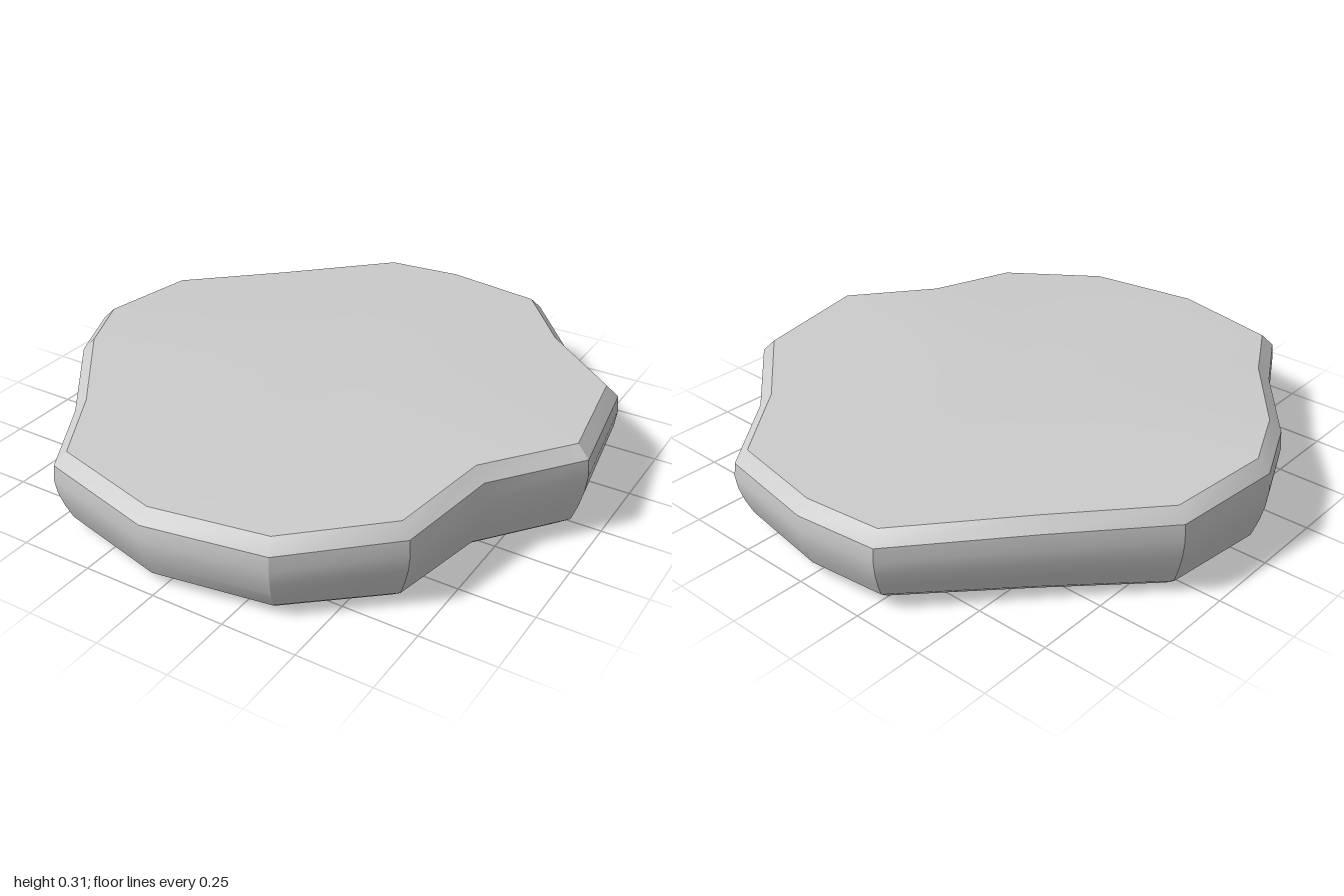
import * as THREE from 'three';
import { toCreasedNormals } from 'three/addons/utils/BufferGeometryUtils.js';

// Widest outline of the stone as (x, z), clockwise seen from above
const OUTLINE = [
  [-0.01, -1.0], [0.36, -0.94], [0.58, -0.66], [0.88, -0.4], [0.955, 0.05], [0.74, 0.33],
  [0.675, 0.67], [0.37, 0.93], [-0.04, 0.995], [-0.46, 0.89], [-0.61, 0.62], [-0.85, 0.3],
  [-0.955, 0.06], [-0.91, -0.32], [-0.62, -0.62], [-0.3, -0.97],
].map(([x, z]) => new THREE.Vector2(x, z));
const N = OUTLINE.length;

// Height of the upper face along z
const CREST = [[-1, 0.28], [-0.9, 0.282], [-0.4, 0.3], [0, 0.315], [0.3, 0.315], [0.65, 0.29], [1, 0.27]];
function topY(z) {
  const k = Math.max(1, CREST.findIndex(([cz]) => cz >= z));
  const [z0, y0] = CREST[k - 1], [z1, y1] = CREST[k];
  return THREE.MathUtils.mapLinear(THREE.MathUtils.clamp(z, z0, z1), z0, z1, y0, y1);
}
// The underside lifts slightly toward the back
const baseY = (z) => Math.max(0, (-z - 0.36) * 0.027);

// Outline moved inward by a distance, with mitred corners
function inset(dist) {
  return OUTLINE.map((p, i) => {
    const a = p.clone().sub(OUTLINE[(i + N - 1) % N]).normalize();
    const b = OUTLINE[(i + 1) % N].clone().sub(p).normalize();
    const k = dist / (1 + a.dot(b));
    return new THREE.Vector2(p.x - (a.y + b.y) * k, p.y + (a.x + b.x) * k);
  });
}

// Ring of 3D points: inset distance and a height rule depending on z
const ring = (dist, height) => inset(dist).map((p) => new THREE.Vector3(p.x, height(p.y), p.y));

// Mesh from triangles, smooth below a 30 degree crease
function build(name, points, material) {
  const geometry = new THREE.BufferGeometry().setFromPoints(points);
  const mesh = new THREE.Mesh(toCreasedNormals(geometry, Math.PI / 6), material);
  mesh.name = name;
  return mesh;
}

// Band of quads through rings listed from bottom to top
function band(rings) {
  const out = [];
  for (let r = 0; r < rings.length - 1; r++) {
    const lo = rings[r], up = rings[r + 1];
    for (let i = 0; i < N; i++) {
      const j = (i + 1) % N;
      out.push(lo[j], lo[i], up[i], lo[j], up[i], up[j]);
    }
  }
  return out;
}

// Fan closing a ring, facing up or down
function cap(edge, centerY, up) {
  const c = new THREE.Vector3(0, centerY, 0);
  return edge.flatMap((p, i) => {
    const q = edge[(i + 1) % N];
    return up ? [c, q, p] : [c, p, q];
  });
}

export function createModel() {
  const material = new THREE.MeshStandardMaterial({ color: 0xcccccc });
  const group = new THREE.Group();
  group.name = 'flatStone';

  const bottom = ring(0.085, baseY);
  const foot = ring(0.043, (z) => baseY(z) + 0.036);
  const shoulder = ring(0.005, (z) => topY(z) - 0.04);
  const rim = ring(0.045, topY);

  // Bulging side wall, from foot to shoulder
  const wall = [foot];
  for (const [t, d] of [[0.25, 0.022], [0.5, 0.007], [0.75, 0]]) {
    wall.push(ring(d, (z) => THREE.MathUtils.lerp(baseY(z) + 0.036, topY(z) - 0.04, t)));
  }
  wall.push(shoulder);

  group.add(
    build('underside', cap(bottom, 0, false), material),
    build('lowerBevel', band([bottom, foot]), material),
    build('sideWall', band(wall), material),
    build('upperBevel', band([shoulder, rim]), material),
    build('topFace', cap(rim, 0.315, true), material),
  );
  return group;
}
